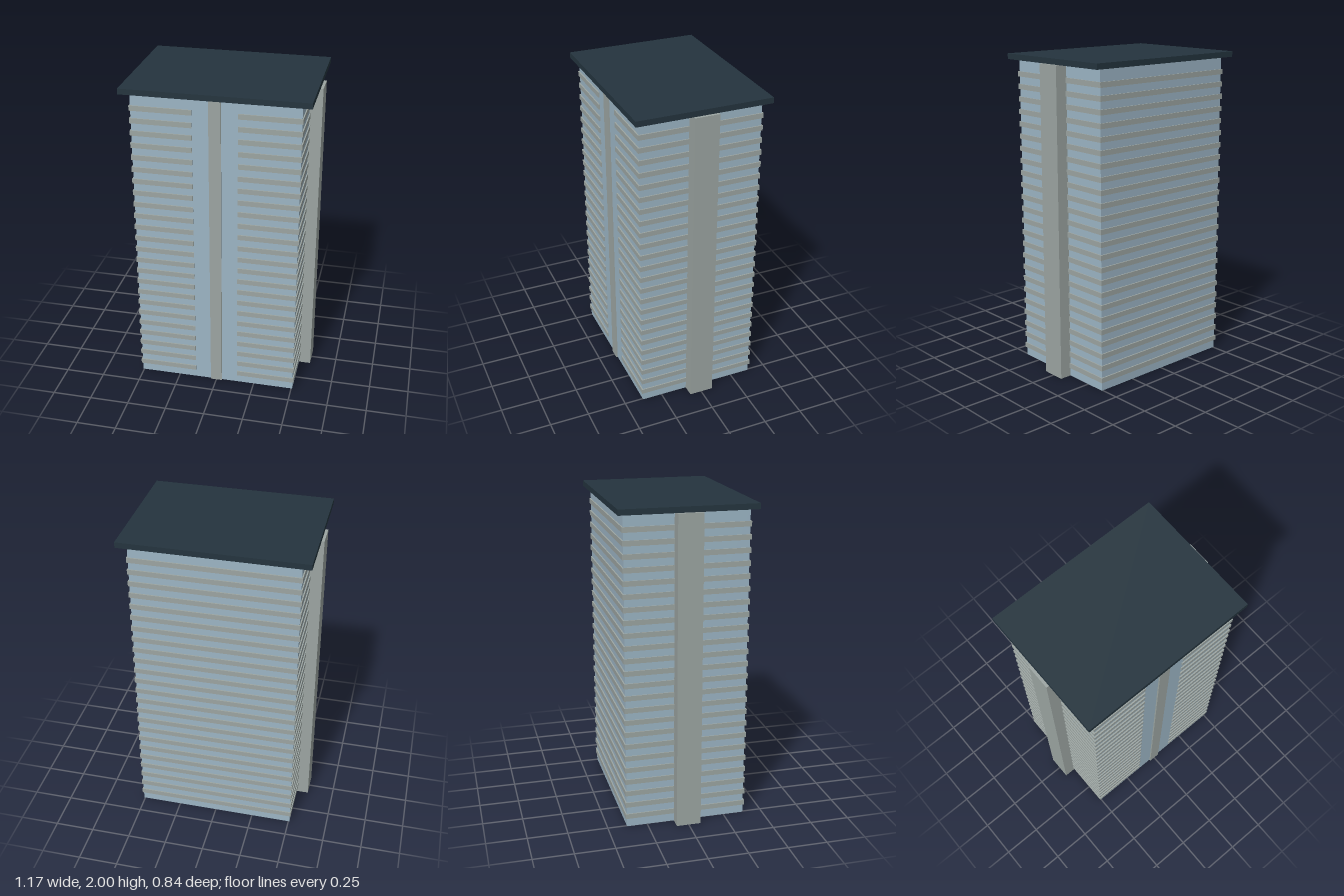
import * as THREE from 'three';

export function createModel() {
  const model = new THREE.Group();
  model.name = 'towerBlock';
  const glass = new THREE.MeshStandardMaterial({ color: 0x9cb5c5 });
  const concrete = new THREE.MeshStandardMaterial({ color: 0x9ca5a2 });
  const slate = new THREE.MeshStandardMaterial({ color: 0x24343e });

  const wallTop = 1.965;

  function addBox(name, material, size, position) {
    const mesh = new THREE.Mesh(new THREE.BoxGeometry(...size), material);
    mesh.name = name;
    mesh.position.set(...position);
    model.add(mesh);
  }

  // Main volume and overhanging roof slab
  addBox('walls', glass, [1.014, wallTop, 0.758], [0, wallTop / 2, 0]);
  addBox('roof', slate, [1.132, 2 - wallTop, 0.838], [0, (2 + wallTop) / 2, 0]);

  // Vertical fins: one on each side and a slim one at the front
  for (const side of [1, -1]) {
    addBox(side > 0 ? 'leftFin' : 'rightFin', concrete, [0.1, wallTop, 0.154], [side * 0.533, wallTop / 2, 0]);
  }
  addBox('frontFin', concrete, [0.074, wallTop, 0.05], [0, wallTop / 2, 0.364]);

  // Floor band: a strip around the walls with a gap at the front centre
  const X = 0.514, Z = 0.387, gap = 0.138, inset = 0.03;
  const outline = [
    [gap, Z], [X, Z], [X, -Z], [-X, -Z], [-X, Z], [-gap, Z],
    [-gap, Z - inset], [-X + inset, Z - inset], [-X + inset, -Z + inset],
    [X - inset, -Z + inset], [X - inset, Z - inset], [gap, Z - inset],
  ];
  const shape = new THREE.Shape(outline.map(([x, z]) => new THREE.Vector2(x, -z)));
  const bandHeight = 0.032;
  const bandGeometry = new THREE.ExtrudeGeometry(shape, { depth: bandHeight, bevelEnabled: false });
  bandGeometry.rotateX(-Math.PI / 2);

  const bands = new THREE.Group();
  bands.name = 'floorBands';
  const floors = 24, firstY = 0.07, step = 0.0784;
  for (let i = 0; i < floors; i++) {
    const band = new THREE.Mesh(bandGeometry, concrete);
    band.name = 'floorBand';
    band.position.y = firstY + i * step - bandHeight / 2;
    bands.add(band);
  }
  model.add(bands);

  return model;
}
